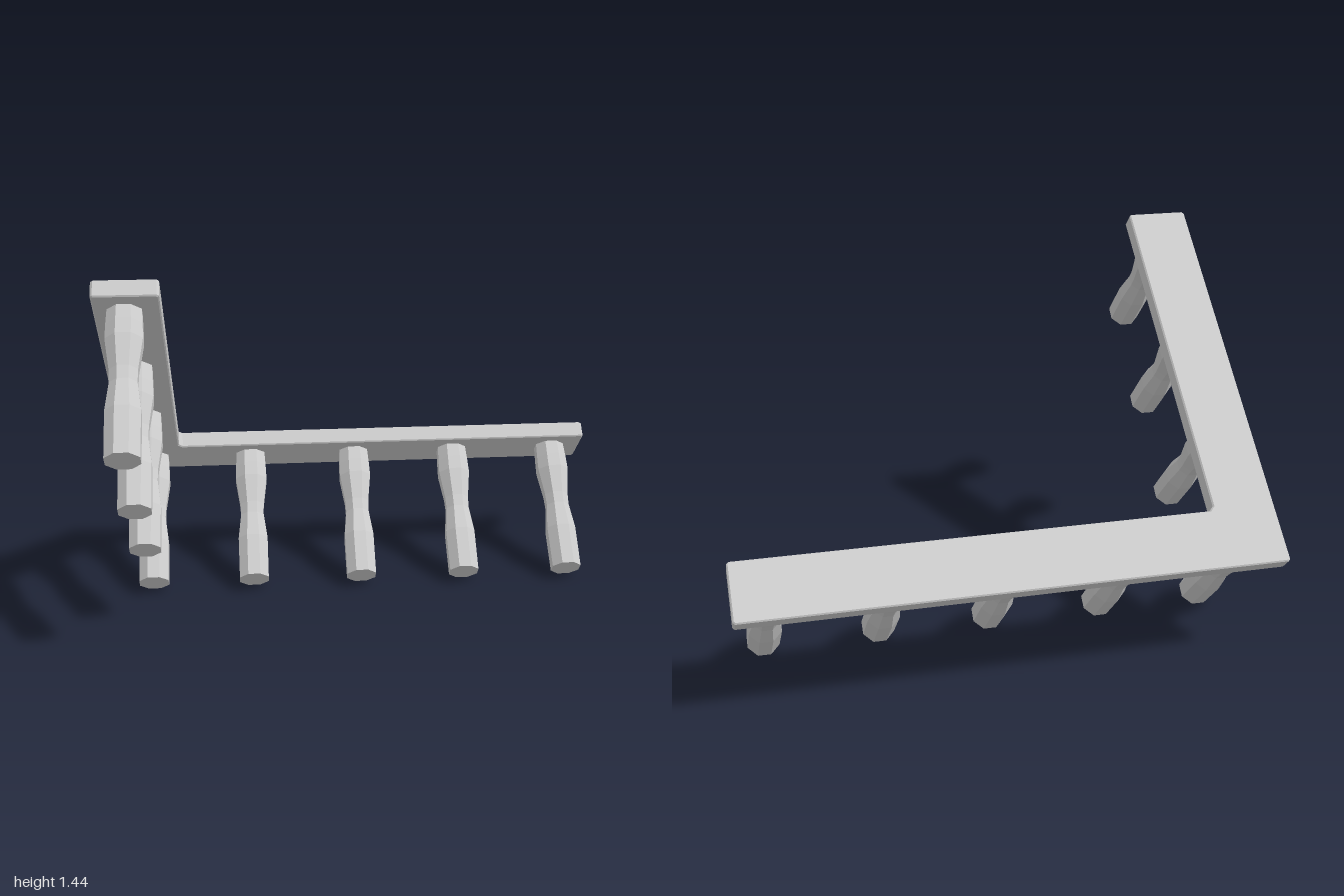
import * as THREE from 'three';

const material = new THREE.MeshStandardMaterial({ color: 0xcccccc, flatShading: true });

// L-shaped board: outline in the sloping plane, swept along the leg direction
function makeBoard() {
  const c = 0.008, inner = -0.765, depth = 0.228, length = 1.573, bevel = 0.005;
  const outline = [
    [-1 + c, 0], [1 - c, 0], [1, c], [1, depth - c], [1 - c, depth],
    [inner + 0.016, depth], [inner, depth + 0.018],
    [inner, length - c], [inner - c, length], [-1 + c, length], [-1, length - c], [-1, c],
  ].map(([x, s]) => new THREE.Vector2(x, s));
  const geometry = new THREE.ExtrudeGeometry(new THREE.Shape(outline), {
    depth: 0.07 - 2 * bevel, bevelEnabled: true, bevelSegments: 1,
    bevelSize: bevel, bevelThickness: bevel, bevelOffset: -bevel,
  });
  geometry.translate(0, 0, bevel);
  // Slope of the board and its slanted edges
  const basis = new THREE.Matrix4().makeBasis(
    new THREE.Vector3(1, 0, 0),
    new THREE.Vector3(0, 1.01, 1.205).normalize(),
    new THREE.Vector3(0, -1, 1).normalize(),
  ).setPosition(0, 0.435, -0.81);
  geometry.applyMatrix4(basis);
  const board = new THREE.Mesh(geometry, material);
  board.name = 'board';
  return board;
}

// Eight-sided peg with a narrow waist, from its free end up into the board
function makePegGeometry() {
  const profile = [
    [0, 0], [0.065, 0], [0.066, 0.18], [0.052, 0.29], [0.054, 0.34],
    [0.071, 0.46], [0.069, 0.52], [0.064, 0.61], [0, 0.61],
  ].map(([r, y]) => new THREE.Vector2(r, y));
  return new THREE.LatheGeometry(profile, 8, Math.PI / 8);
}

export function createModel() {
  const model = new THREE.Group();
  model.name = 'peggedCornerBoard';
  model.add(makeBoard());

  const pegGeometry = makePegGeometry();
  const addPeg = (name, x, y, z) => {
    const peg = new THREE.Mesh(pegGeometry, material);
    peg.name = name;
    peg.position.set(x, y, z);
    peg.rotation.x = -Math.PI / 4;
    model.add(peg);
  };

  // Pegs along the back arm, starting at the corner
  [-0.875, -0.46, -0.01, 0.425, 0.865].forEach((x, i) =>
    addPeg(i ? `backPeg${i}` : 'cornerPeg', x, 0.047, -0.253));

  // Pegs climbing along the side arm
  [[-0.88, 0.33, 0.095], [-0.885, 0.612, 0.437], [-0.89, 0.91, 0.767]].forEach(([x, y, z], i) =>
    addPeg(`sidePeg${i + 1}`, x, y, z));

  return model;
}
